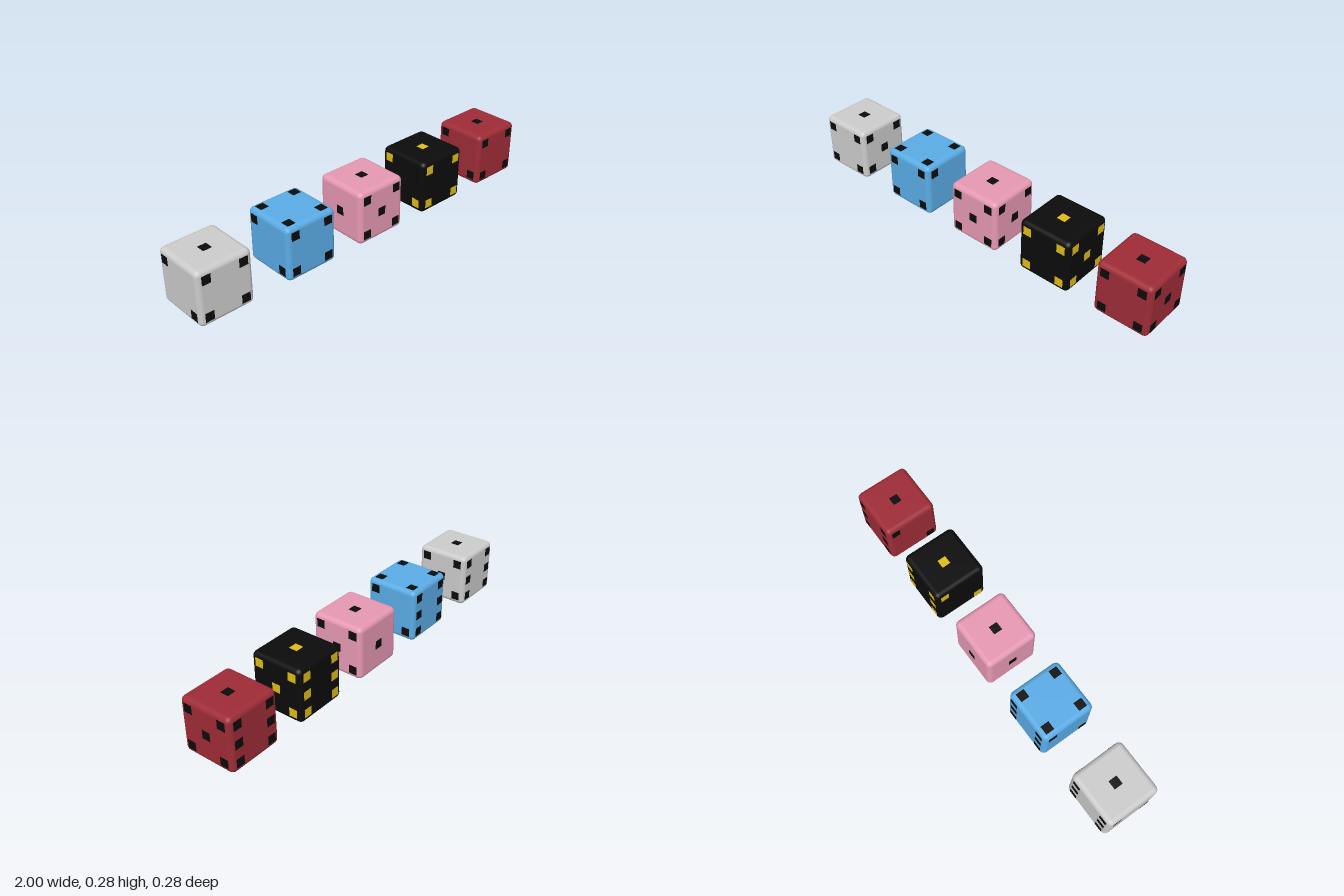
import * as THREE from 'three';
import { RoundedBoxGeometry } from 'three/addons/geometries/RoundedBoxGeometry.js';

const SIZE = 0.277, PIP = 0.044, STEP = 0.0925;

// pip grid positions (u right, v up) seen facing each side
const diagonal = [[-1, 1], [1, -1]];
const corners = [[-1, 1], [1, 1], [-1, -1], [1, -1]];
const patterns = {
  1: [[0, 0]],
  2: diagonal,
  3: [...diagonal, [0, 0]],
  4: corners,
  5: [...corners, [0, 0]],
  6: [...corners, [-1, 0], [1, 0]],
};

// rotation that turns the +z side to each face
const faces = {
  front: [0, 0, 0],
  back: [0, Math.PI, 0],
  right: [0, Math.PI / 2, 0],
  left: [0, -Math.PI / 2, 0],
  top: [-Math.PI / 2, 0, 0],
  bottom: [Math.PI / 2, 0, 0],
};

const bodyGeometry = new RoundedBoxGeometry(SIZE, SIZE, SIZE, 4, 0.025);
const pipGeometry = new THREE.BoxGeometry(PIP, PIP, 0.004);

function makeDie(name, x, bodyColor, pipColor, values) {
  const die = new THREE.Group();
  die.name = name;
  die.position.set(x, SIZE / 2, 0);
  const body = new THREE.Mesh(bodyGeometry, new THREE.MeshStandardMaterial({ color: bodyColor }));
  body.name = 'dieBody';
  die.add(body);

  // square pips, almost flush with the faces
  const pipMaterial = new THREE.MeshStandardMaterial({ color: pipColor });
  for (const [side, rotation] of Object.entries(faces)) {
    const face = new THREE.Group();
    face.name = side + 'Pips';
    face.rotation.set(...rotation);
    for (const [u, v] of patterns[values[side]]) {
      const pip = new THREE.Mesh(pipGeometry, pipMaterial);
      pip.name = 'pip';
      pip.position.set(u * STEP, v * STEP, SIZE / 2 - 0.0015);
      face.add(pip);
    }
    die.add(face);
  }
  return die;
}

export function createModel() {
  const group = new THREE.Group();
  group.name = 'diceRow';
  const regular = { front: 4, back: 6, right: 5, left: 2, top: 1, bottom: 3 };
  const even = { front: 4, back: 6, right: 2, left: 2, top: 4, bottom: 6 };
  const odd = { front: 5, back: 1, right: 5, left: 1, top: 1, bottom: 3 };
  const dark = 0x0b0b0b;
  group.add(
    makeDie('greyDie', -0.8615, 0xcccccc, dark, regular),
    makeDie('blueDie', -0.4, 0x5aace6, dark, even),
    makeDie('pinkDie', 0.027, 0xe698b2, dark, odd),
    makeDie('blackDie', 0.445, dark, 0xe0bc14, regular),
    makeDie('redDie', 0.8615, 0x9e2c37, dark, regular),
  );
  return group;
}
